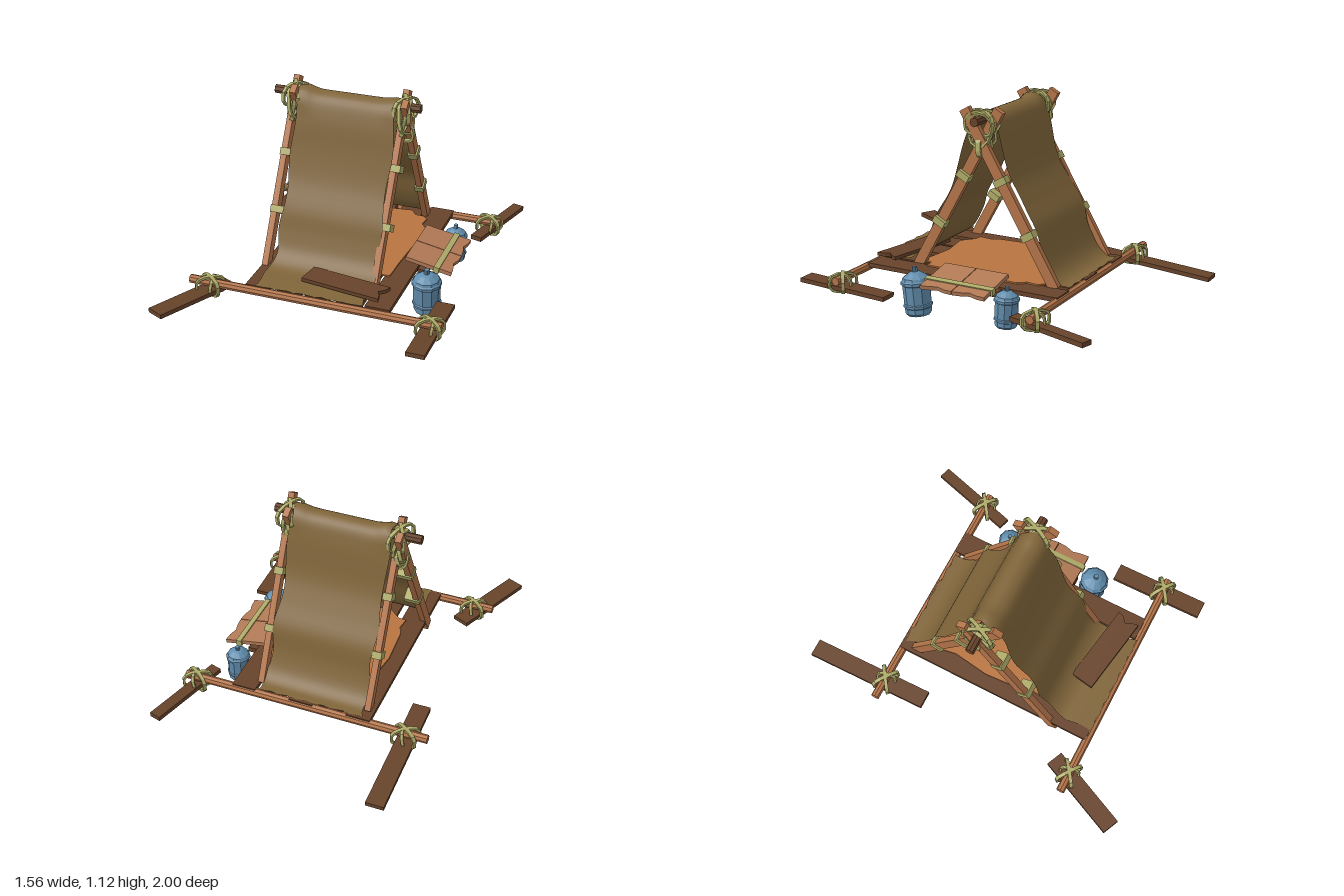
import * as THREE from 'three';

const mat = (color, flat = true, side = THREE.FrontSide) => {
  const m = new THREE.MeshStandardMaterial({ color, flatShading: flat, side });
  return m;
};
const WOOD = mat(0xb5754a), PALE = mat(0xb27a56), DARK = mat(0x67432a), ROPE = mat(0xaeab68);
const BLUE = mat(0x628eae), MAT = mat(0xb87440);
const CLOTH = mat(0x80653a, false, THREE.DoubleSide);
const V = (x, y, z) => new THREE.Vector3(x, y, z);

export function createModel() {
  const model = new THREE.Group();
  const add = (name, geo, material, parent = model) => {
    const m = new THREE.Mesh(geo, material);
    m.name = name;
    parent.add(m);
    return m;
  };

  // Straight square timber between two points
  const beam = (name, a, b, w, h, material) => {
    const m = add(name, new THREE.BoxGeometry(w, h, a.distanceTo(b)), material);
    m.position.copy(a).lerp(b, 0.5);
    m.lookAt(b);
    return m;
  };

  // Round pole along x
  const pole = (name, x0, x1, y, z, r, material) => {
    const m = add(name, new THREE.CylinderGeometry(r, r, x1 - x0, 8), material);
    m.rotation.z = Math.PI / 2;
    m.position.set((x0 + x1) / 2, y, z);
  };

  // Flat rope band: a rounded ring extruded to a ribbon
  const ring = (name, a, b, width, pos, rot) => {
    const outline = (p, q, k = 12) => Array.from({ length: k }, (_, i) => {
      const t = (i + 0.5) / k * Math.PI * 2, c = Math.cos(t), s = Math.sin(t);
      return new THREE.Vector2(p * Math.sign(c) * Math.abs(c) ** 0.75, q * Math.sign(s) * Math.abs(s) ** 0.75);
    });
    const shape = new THREE.Shape(outline(a, b));
    shape.holes.push(new THREE.Path(outline(a - 0.012, b - 0.012)));
    const geo = new THREE.ExtrudeGeometry(shape, { depth: width, bevelEnabled: false });
    geo.translate(0, 0, -width / 2);
    const m = add(name, geo, ROPE);
    m.position.copy(pos);
    m.rotation.set(...rot, 'YXZ');
  };

  // Board lying flat, long side along x, with a broken notch in its +x end
  const board = (name, len, width, thick, notch, material, parent) => {
    const l = len / 2, w = width / 2;
    const s = new THREE.Shape([[-l, -w], [l, -w], [l - notch * 0.4, -w * 0.4], [l - notch, 0],
      [l - notch * 0.2, w * 0.5], [l, w], [-l, w]].map(p => new THREE.Vector2(...p)));
    const geo = new THREE.ExtrudeGeometry(s, { depth: thick, bevelEnabled: false });
    geo.translate(0, 0, -thick / 2).rotateX(-Math.PI / 2);
    return add(name, geo, material, parent);
  };

  // Cross poles front and back, and the ridge pole
  pole('frontPole', -0.69, 0.715, 0.18, 0.645, 0.024, WOOD);
  pole('backPole', -0.69, 0.715, 0.18, -0.53, 0.024, WOOD);
  pole('ridgePole', -0.45, 0.375, 1.055, -0.02, 0.025, DARK);

  // Floor planks with uneven lengths, and the sleeping mat
  [-0.3, -0.135, 0.03, 0.2, 0.365].forEach((x, i) => {
    const z0 = -0.54 + (i % 2) * 0.02, z1 = 0.64 - (i % 3) * 0.01;
    beam('floorPlank', V(x, 0.195, z0), V(x + (i % 2 ? 0.008 : -0.004), 0.195, z1), 0.135, 0.024, DARK);
  });
  const matPts = [];
  for (let i = 0; i < 28; i++) {
    const t = i / 28 * Math.PI * 2, c = Math.cos(t), s = Math.sin(t);
    const r = 1 + 0.05 * Math.sin(i * 2.3);
    matPts.push(new THREE.Vector2(0.03 + 0.31 * r * Math.sign(c) * Math.abs(c) ** 0.4,
      0.03 + 0.4 * r * Math.sign(s) * Math.abs(s) ** 0.4));
  }
  const matGeo = new THREE.ExtrudeGeometry(new THREE.Shape(matPts), { depth: 0.008, bevelEnabled: false });
  add('sleepingMat', matGeo.rotateX(-Math.PI / 2), MAT).position.y = 0.209;

  // Crossed legs at both ends, with bands tying the cloth to them
  for (const [xFront, xBackTop, xBackFoot, xBand, wBand] of
    [[-0.355, -0.312, -0.33, -0.33, 0.09], [0.27, 0.312, 0.29, 0.283, 0.055]]) {
    const legs = [
      [V(xFront, 0.125, 0.435), V(xFront, 1.11, -0.115)],
      [V(xBackFoot, 0.2, -0.455), V(xBackTop, 1.11, 0.07)],
    ];
    legs.forEach(([a, b], i) => {
      beam(i ? 'backLeg' : 'frontLeg', a, b, 0.034, 0.058, WOOD);
      for (const y of [0.465, 0.74]) {
        const p = a.clone().lerp(b, (y - a.y) / (b.y - a.y));
        p.x = i ? p.x : xBand;
        const dir = b.clone().sub(a).normalize().multiplyScalar(0.02);
        beam('legBand', p.clone().sub(dir), p.clone().add(dir), i ? 0.052 : wBand, 0.074, ROPE);
      }
    });
    // Ropes knotted around the ridge
    const x = (xFront + xBackTop) / 2;
    for (const s of [-1, 1]) {
      ring('ridgeLashing', 0.1, 0.07, 0.02, V(x, 1.04, -0.02), [0, Math.PI / 2 + s * 0.45, s * 0.12]);
      ring('ridgeLashing', 0.075, 0.1, 0.02, V(x, 1.0, -0.02), [s * 0.25, Math.PI / 2 + s * 0.2, s * 0.35]);
    }
    ring('crossingLashing', 0.06, 0.055, 0.022, V(x, 0.93, -0.02), [0.35, Math.PI / 2, 0]);
    ring('crossingLashing', 0.048, 0.06, 0.03, V(x, 0.91, -0.02), [0.1, 0, 0.15]);
  }

  // Cloth draped over the ridge, spreading onto the floor at both ends
  const drape = new THREE.CatmullRomCurve3([[0.645, 0.212], [0.55, 0.217], [0.45, 0.222], [0.375, 0.28],
    [0.325, 0.38], [0.285, 0.49], [0.2, 0.64], [0.14, 0.8], [0.09, 0.97], [0.04, 1.065], [-0.02, 1.088],
    [-0.07, 1.06], [-0.11, 0.97], [-0.17, 0.76], [-0.25, 0.62], [-0.33, 0.5], [-0.365, 0.37],
    [-0.42, 0.26], [-0.475, 0.218], [-0.53, 0.213]].map(([z, y]) => V(0, y, z)));
  const cloth = new THREE.PlaneGeometry(1, 1, 16, 80);
  const pos = cloth.attributes.position;
  for (let i = 0; i < pos.count; i++) {
    const u = pos.getX(i), t = 0.5 - pos.getY(i);
    const p = drape.getPoint(t);
    const spread = 0.56 + 0.045 * Math.abs(2 * t - 1) ** 3;
    const fray = Math.abs(u) ** 3 * 0.07 * Math.sin(t * 47 + u * 5) * Math.sign(u);
    const crease = 0.02 * Math.exp(-(((u + 0.45) / 0.08) ** 2)) + 0.012 * Math.exp(-(((u - 0.46) / 0.08) ** 2));
    const hem = t < 0.01 || t > 0.99 ? 0.006 * Math.sin(u * 37) : 0;
    pos.setXYZ(i, -0.018 + u * spread + fray, p.y + (p.y > 1 ? crease : 0), p.z + hem);
  }
  cloth.computeVertexNormals();
  add('tentCloth', cloth, CLOTH);

  // Outrigger planks, each lashed to the end of a cross pole
  beam('outrigger', V(-0.57, 0.15, -0.275), V(-0.57, 0.093, -1), 0.1, 0.024, DARK);
  beam('outrigger', V(0.61, 0.135, -0.385), V(0.745, 0.13, -0.86), 0.066, 0.026, DARK);
  beam('outrigger', V(-0.53, 0.13, 0.53), V(-0.735, 0.145, 0.98), 0.1, 0.024, DARK);
  beam('outrigger', V(0.648, 0.125, 0.35), V(0.648, 0.145, 0.89), 0.1, 0.024, DARK);
  for (const [x, z] of [[-0.567, -0.53], [0.65, -0.53], [-0.575, 0.642], [0.65, 0.642]]) {
    for (const s of [-1, 1]) {
      ring('poleLashing', 0.085, 0.057, 0.02, V(x, 0.16, z), [0, s * 0.62, 0]);
    }
    ring('poleLashing', 0.06, 0.055, 0.016, V(x + 0.01, 0.16, z), [0.15, Math.PI / 2 + 0.2, 0.1]);
  }

  // Loose board on the cloth
  const loose = board('looseBoard', 0.46, 0.135, 0.02, 0.035, DARK);
  loose.position.set(0.145, 0.238, 0.51);
  loose.rotation.set(0, -0.165, 0.015);

  // Sloping side deck of two broken boards under a strap
  const deck = new THREE.Group();
  deck.name = 'sideDeck';
  deck.position.set(0.493, 0.228, -0.025);
  deck.rotation.z = -0.19;
  model.add(deck);
  for (const s of [-1, 1]) {
    const d = board('deckBoard', 0.265, 0.192, 0.022, 0.018, PALE, deck);
    d.position.z = s * 0.098;
  }
  const strap = add('deckStrap', new THREE.BoxGeometry(0.032, 0.034, 0.41), ROPE, deck);
  strap.position.x = 0.047;
  beam('deckSupport', V(0.46, 0.185, -0.22), V(0.46, 0.185, 0.17), 0.05, 0.03, DARK);

  // Water barrels hung as floats beside the deck
  const profile = [[0, 0], [0.064, 0], [0.072, 0.012], [0.072, 0.04], [0.079, 0.045], [0.079, 0.058], [0.073, 0.063],
    [0.075, 0.165], [0.082, 0.17], [0.082, 0.186], [0.075, 0.192], [0.07, 0.206], [0.035, 0.23], [0.014, 0.236],
    [0.014, 0.262], [0, 0.262]].map(p => new THREE.Vector2(...p));
  for (const [x, y, z, size, tilt] of [[0.515, 0.008, 0.246, 1, 0.09], [0.515, 0.036, -0.288, 0.83, -0.03]]) {
    const b = add('barrel', new THREE.LatheGeometry(profile, 10), BLUE);
    b.position.set(x, y, z);
    b.scale.setScalar(size);
    b.rotation.x = tilt;
  }
  return model;
}
